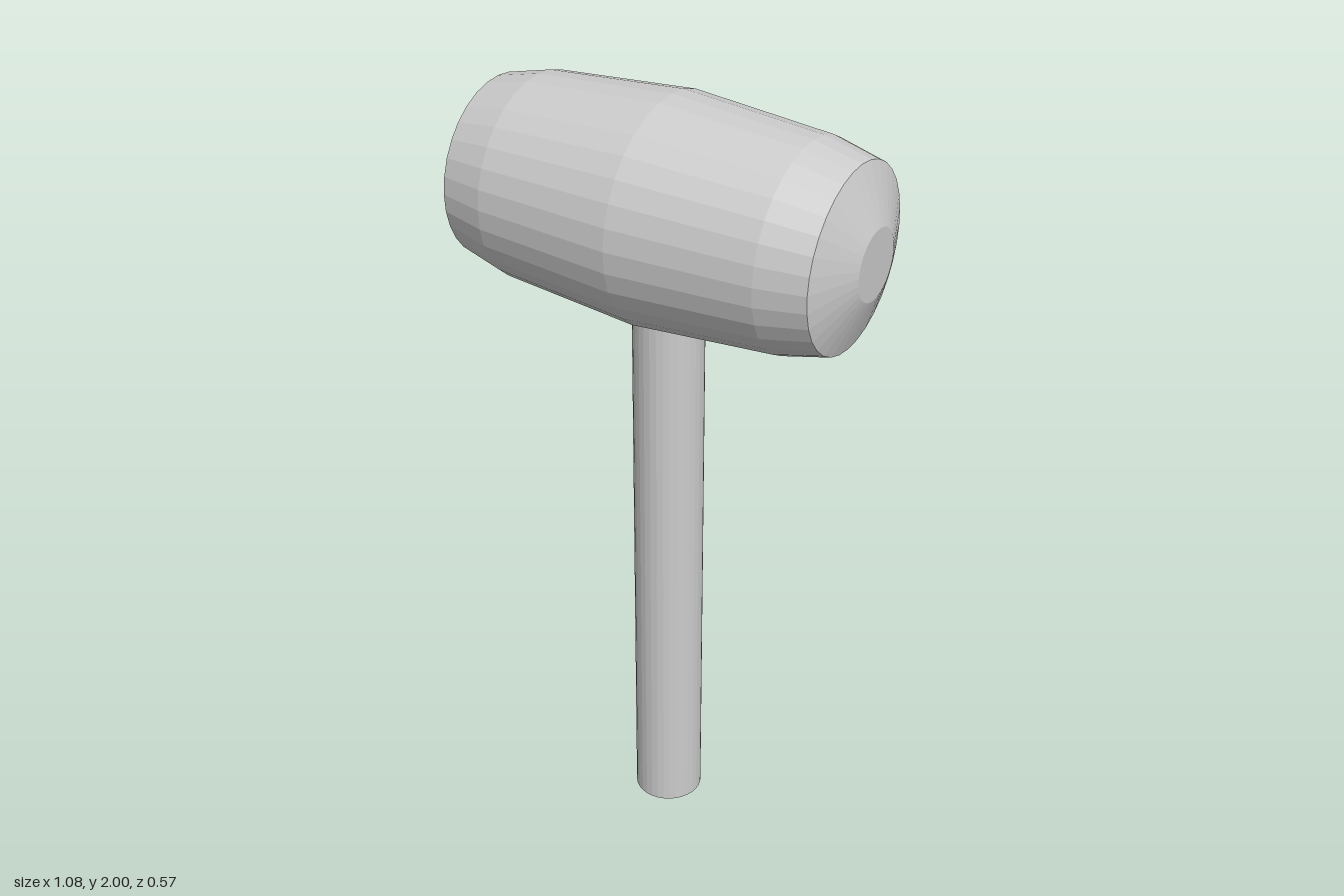
import * as THREE from 'three';

export function createModel() {
  const group = new THREE.Group();
  const material = new THREE.MeshStandardMaterial({ color: 0xcccccc, flatShading: true });
  const sides = 32;

  // Barrel-shaped head: half profile (radius, distance from middle), mirrored
  const half = [[0.255, 0.365], [0.226, 0.485], [0.087, 0.538], [0, 0.538]];
  const profile = [
    ...half.slice().reverse().map(([r, d]) => new THREE.Vector2(r, -d)),
    new THREE.Vector2(0.283, 0),
    ...half.map(([r, d]) => new THREE.Vector2(r, d)),
  ];
  const head = new THREE.Mesh(new THREE.LatheGeometry(profile, sides), material);
  head.name = 'head';
  // Laid along x with a slight downward tilt to the left
  head.rotation.z = -Math.PI / 2 - 0.022;
  head.position.set(0, 1.718, -0.002);
  group.add(head);

  // Round handle, its top set into the head
  const handleHeight = 1.52;
  const handle = new THREE.Mesh(
    new THREE.CylinderGeometry(0.089, 0.089, handleHeight, sides), material);
  handle.name = 'handle';
  handle.position.y = handleHeight / 2;
  group.add(handle);

  return group;
}
